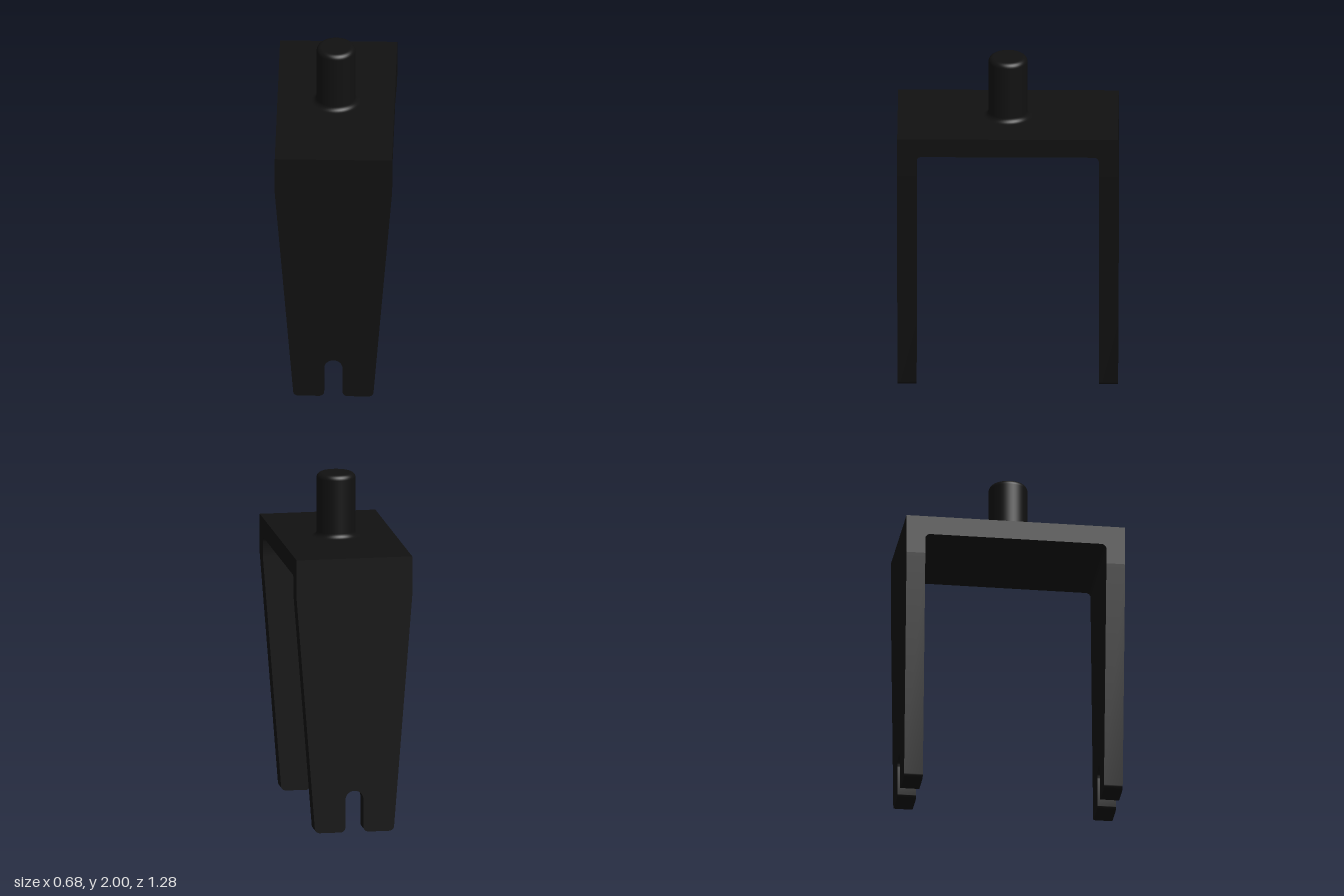
import * as THREE from 'three';
import { toCreasedNormals } from 'three/addons/utils/BufferGeometryUtils.js';

const HALF_W = 0.34;      // half width of the fork in x
const HALF_D = 0.64;      // half depth of the fork in z
const THICK = 0.11;       // leg and bridge thickness
const TOP = 1.625;        // upper face of the bridge
const TAPER = 1.39;       // height where the legs begin to narrow
const R = 0.03;           // small edge radius

// Extrudes a shape by depth, centred on z, with smooth rounded corners
function extrudeCentred(shape, depth) {
  const geo = new THREE.ExtrudeGeometry(shape, { depth, bevelEnabled: false, curveSegments: 10 });
  geo.translate(0, 0, -depth / 2);
  return toCreasedNormals(geo, 0.5);
}

// Tapered leg with rounded feet and a round-topped slot
function legShape() {
  const foot = 0.231, slot = 0.053, slotTop = 0.245;
  const slope = (HALF_W - foot) / TAPER;
  const s = new THREE.Shape();
  s.moveTo(HALF_W, TAPER);
  s.lineTo(-HALF_W, TAPER);
  s.lineTo(-foot - slope * R, R);
  s.quadraticCurveTo(-foot, 0, -foot + R, 0);
  s.lineTo(-slot - R, 0);
  s.absarc(-slot - R, R, R, -Math.PI / 2, 0, false);
  s.lineTo(-slot, slotTop - slot);
  s.absarc(0, slotTop - slot, slot, Math.PI, 0, true);
  s.lineTo(slot, R);
  s.absarc(slot + R, R, R, Math.PI, Math.PI * 1.5, false);
  s.lineTo(foot - R, 0);
  s.quadraticCurveTo(foot, 0, foot + slope * R, R);
  s.closePath();
  return s;
}

// Bridge with the straight upper ends of the legs and filleted inner corners
function bridgeShape() {
  const inner = HALF_D - THICK, under = TOP - THICK - 0.003;
  const s = new THREE.Shape();
  s.moveTo(-HALF_D, TAPER);
  s.lineTo(-inner, TAPER);
  s.lineTo(-inner, under - R);
  s.absarc(-inner + R, under - R, R, Math.PI, Math.PI / 2, true);
  s.lineTo(inner - R, under);
  s.absarc(inner - R, under - R, R, Math.PI / 2, 0, true);
  s.lineTo(inner, TAPER);
  s.lineTo(HALF_D, TAPER);
  s.lineTo(HALF_D, TOP);
  s.lineTo(-HALF_D, TOP);
  s.closePath();
  return s;
}

// Post profile: filleted base, straight shaft, rounded top edge
function postProfile() {
  const radius = 0.113, height = 2, steps = 6, pts = [];
  for (let i = 0; i <= steps; i++) {
    const a = (i / steps) * Math.PI / 2;
    pts.push(new THREE.Vector2(radius + R - R * Math.sin(a), TOP + R - R * Math.cos(a)));
  }
  for (let i = 0; i <= steps; i++) {
    const a = (i / steps) * Math.PI / 2;
    pts.push(new THREE.Vector2(radius - R + R * Math.cos(a), height - R + R * Math.sin(a)));
  }
  pts.push(new THREE.Vector2(0, height));
  return pts;
}

export function createModel() {
  const group = new THREE.Group();
  group.name = 'forkBracket';
  const material = new THREE.MeshStandardMaterial({ color: 0x111111 });
  const add = (name, geometry) => {
    const mesh = new THREE.Mesh(geometry, material);
    mesh.name = name;
    group.add(mesh);
    return mesh;
  };

  // Bridge, extruded along x
  add('bridge', extrudeCentred(bridgeShape(), HALF_W * 2).rotateY(Math.PI / 2));

  // Front and back legs
  const leg = extrudeCentred(legShape(), THICK);
  add('frontLeg', leg).position.z = HALF_D - THICK / 2;
  add('backLeg', leg).position.z = -HALF_D + THICK / 2;

  // Mounting post
  add('post', new THREE.LatheGeometry(postProfile(), 48));

  return group;
}
